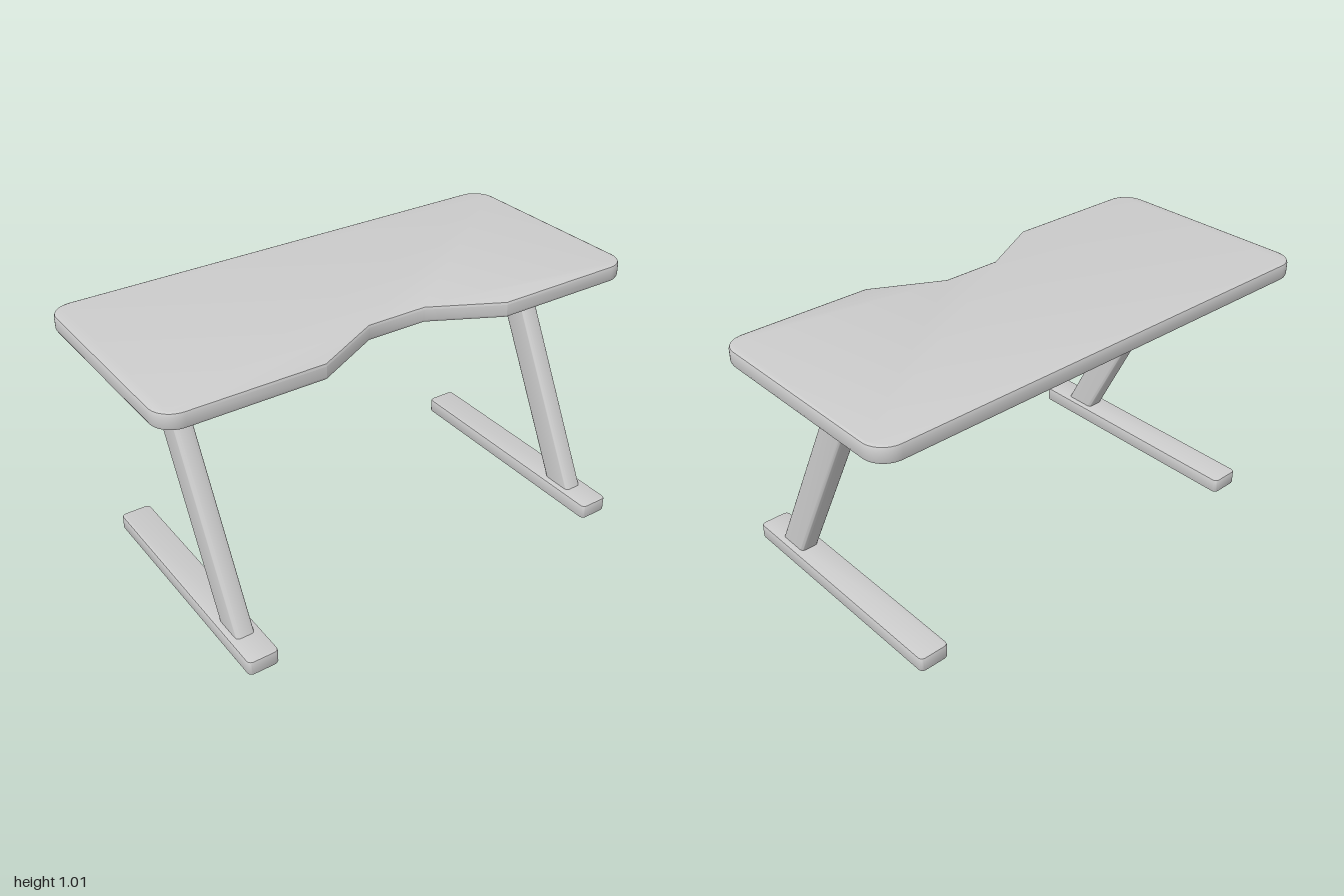
import * as THREE from 'three';
import { toCreasedNormals } from 'three/addons/utils/BufferGeometryUtils.js';

// Rounded rectangle in plan; shape y is -z of the model
function roundedPlan(x0, x1, zBack, zFront, r, frontCut = []) {
  const s = new THREE.Shape();
  const y0 = -zFront, y1 = -zBack;
  s.moveTo(x0 + r, y0);
  frontCut.forEach(([x, z]) => s.lineTo(x, -z));
  s.lineTo(x1 - r, y0);
  s.absarc(x1 - r, y0 + r, r, -Math.PI / 2, 0, false);
  s.lineTo(x1, y1 - r);
  s.absarc(x1 - r, y1 - r, r, 0, Math.PI / 2, false);
  s.lineTo(x0 + r, y1);
  s.absarc(x0 + r, y1 - r, r, Math.PI / 2, Math.PI, false);
  s.lineTo(x0, y0 + r);
  s.absarc(x0 + r, y0 + r, r, Math.PI, Math.PI * 1.5, false);
  return s;
}

// Horizontal slab from a plan shape, with softened top and bottom edges
function slab(shape, y0, y1, bevel, curveSegments) {
  const g = new THREE.ExtrudeGeometry(shape, {
    depth: y1 - y0 - 2 * bevel, curveSegments,
    bevelEnabled: bevel > 0, bevelThickness: bevel, bevelSize: bevel,
    bevelOffset: -bevel, bevelSegments: 2,
  });
  g.rotateX(-Math.PI / 2);
  g.translate(0, y0 + bevel, 0);
  return g;
}

export function createModel() {
  const grey = new THREE.MeshStandardMaterial({ color: 0xcccccc });
  grey.name = 'plain grey';
  const model = new THREE.Group();
  model.name = 'desk';

  const add = (name, geometry, x = 0) => {
    const mesh = new THREE.Mesh(toCreasedNormals(geometry, 0.6), grey);
    mesh.name = name;
    mesh.position.x = x;
    model.add(mesh);
  };

  // Tabletop with a tapered cutout along the front
  const cutout = [[-0.39, 0.362], [-0.12, 0.222], [0.12, 0.222], [0.39, 0.362]];
  add('tabletop', slab(roundedPlan(-1, 1, -0.542, 0.362, 0.09, cutout), 0.95, 1.015, 0.012, 6));

  for (const [side, sign] of [['left', 1], ['right', -1]]) {
    const x = sign * 0.784;

    // Long flat foot
    add(side + 'Foot', slab(roundedPlan(-0.062, 0.062, -0.485, 0.542, 0.02), 0, 0.06, 0.006, 4), x);

    // Slanted leg: an upright bar sheared backwards
    const leg = slab(roundedPlan(-0.037, 0.037, 0.284, 0.416, 0.015), 0.055, 0.955, 0, 3);
    leg.applyMatrix4(new THREE.Matrix4().set(
      1, 0, 0, 0,
      0, 1, 0, 0,
      0, -0.505, 1, 0.505 * 0.06,
      0, 0, 0, 1));
    add(side + 'Leg', leg, x);
  }
  return model;
}
